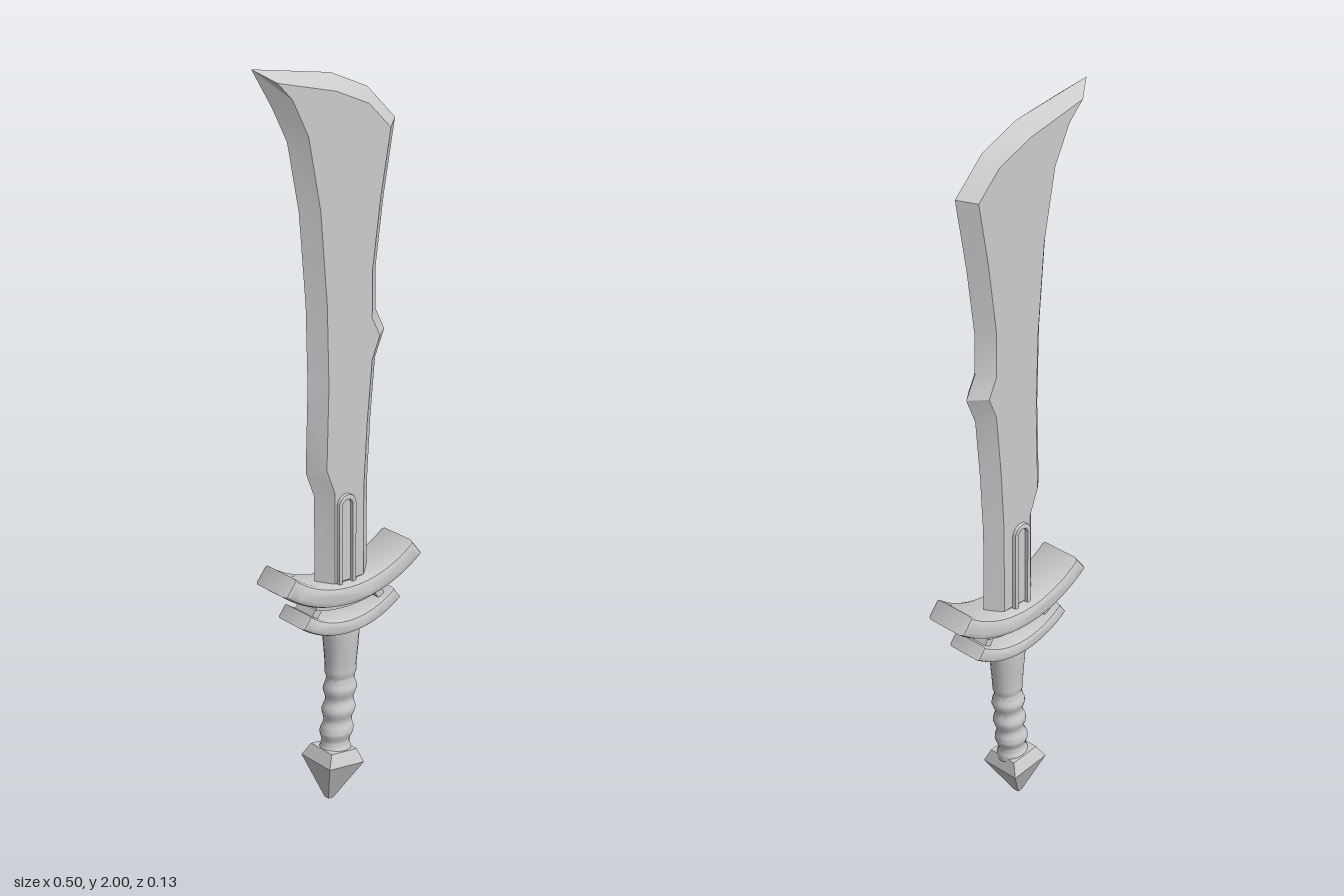
import * as THREE from 'three';
import { toCreasedNormals, mergeVertices } from 'three/addons/utils/BufferGeometryUtils.js';

const material = new THREE.MeshStandardMaterial({ color: 0xcccccc });

function part(group, name, geometry) {
  const mesh = new THREE.Mesh(geometry, material);
  mesh.name = name;
  group.add(mesh);
  return mesh;
}

// Blade: a sharp outline at z = 0, bevelled to flat faces at +-t
function bladeGeometry(outline, bevel, t) {
  const n = outline.length;
  const edge = outline.map(([x, y]) => new THREE.Vector2(x, y));
  const inset = edge.map((p, i) => {
    const inward = (a, b) => new THREE.Vector2(a.y - b.y, b.x - a.x).normalize();
    const n1 = inward(edge[(i + n - 1) % n], p);
    const dir = n1.clone().add(inward(p, edge[(i + 1) % n])).normalize();
    return p.clone().addScaledVector(dir, bevel * Math.min(1 / dir.dot(n1), 1.5));
  });
  const pos = [];
  const tri = (...pts) => pts.forEach(([p, z]) => pos.push(p.x, p.y, z));
  for (let i = 0; i < n; i++) {
    const j = (i + 1) % n;
    tri([edge[i], 0], [edge[j], 0], [inset[j], t]);
    tri([edge[i], 0], [inset[j], t], [inset[i], t]);
    tri([edge[j], 0], [edge[i], 0], [inset[j], -t]);
    tri([inset[j], -t], [edge[i], 0], [inset[i], -t]);
  }
  for (const [a, b, c] of THREE.ShapeUtils.triangulateShape(inset, [])) {
    tri([inset[a], t], [inset[b], t], [inset[c], t]);
    tri([inset[a], -t], [inset[c], -t], [inset[b], -t]);
  }
  const g = new THREE.BufferGeometry();
  g.setAttribute('position', new THREE.Float32BufferAttribute(pos, 3));
  return toCreasedNormals(g, 0.5);
}

// Shape extruded symmetrically about z = 0, with chamfered rims
function slab(shape, halfDepth, chamfer) {
  const g = new THREE.ExtrudeGeometry(shape, {
    depth: 2 * (halfDepth - chamfer), bevelEnabled: chamfer > 0, bevelSize: chamfer,
    bevelThickness: chamfer, bevelOffset: -chamfer, bevelSegments: 2, curveSegments: 16,
  });
  g.translate(0, 0, -(halfDepth - chamfer));
  return toCreasedNormals(g, 0.6);
}

// Upward-curving bar: a slice of a ring below its centre
function arcBar(cx, cy, outer, inner, halfAngle, halfDepth, chamfer) {
  const s = new THREE.Shape();
  const mid = -Math.PI / 2;
  s.absarc(cx, cy, outer, mid - halfAngle, mid + halfAngle, false);
  s.absarc(cx, cy, inner, mid + halfAngle, mid - halfAngle, true);
  s.closePath();
  return slab(s, halfDepth, chamfer);
}

// Arched outline, straight at the bottom
function arch(path, cx, bottom, top, r) {
  path.moveTo(cx - r, bottom);
  path.lineTo(cx + r, bottom);
  path.absarc(cx, top - r, r, 0, Math.PI, false);
  path.closePath();
  return path;
}

// Grip: elliptical rings along a bent centre line, swelling into finger ridges
function gripGeometry() {
  const rows = 48;
  const spine = new THREE.CatmullRomCurve3([
    [0.0, 0.13], [0.009, 0.2], [0.019, 0.3], [0.023, 0.4], [0.023, 0.52],
  ].map(([x, y]) => new THREE.Vector3(x, y, 0)));
  const g = new THREE.CylinderGeometry(1, 1, 1, 20, rows);
  const p = g.attributes.position;
  for (let i = 0; i < p.count; i++) {
    const u = p.getY(i) + 0.5;
    const c = spine.getPoint(u);
    const ridge = c.y < 0.37 ? 0.004 * Math.cos((c.y - 0.2) * 2 * Math.PI / 0.06) : 0;
    const flare = 0.008 * THREE.MathUtils.smoothstep(c.y, 0.36, 0.5);
    p.setXYZ(i, c.x + p.getX(i) * (0.044 + ridge + flare), c.y,
      p.getZ(i) * (0.037 + ridge + flare));
  }
  g.deleteAttribute('normal');
  g.deleteAttribute('uv');
  const merged = mergeVertices(g);
  return toCreasedNormals(merged, 0.9);
}

export function createModel() {
  const model = new THREE.Group();
  model.name = 'sword';

  // Blade outline, counter-clockwise from the bottom of the spine
  const blade = [
    [0.11, 0.6], [0.11, 0.88], [0.12, 1.05], [0.135, 1.21], [0.165, 1.28], [0.135, 1.34],
    [0.135, 1.45], [0.16, 1.63], [0.195, 1.82], [0.105, 1.91], [-0.01, 1.96], [-0.25, 2.0],
    [-0.19, 1.9], [-0.145, 1.81], [-0.11, 1.63], [-0.09, 1.39], [-0.085, 1.18],
    [-0.092, 0.95], [-0.065, 0.88], [-0.065, 0.6],
  ];
  part(model, 'blade', bladeGeometry(blade, 0.04, 0.035));

  // Raised arched frame at the root of the blade
  const frame = arch(new THREE.Shape(), 0.01, 0.6, 0.88, 0.029);
  frame.holes.push(arch(new THREE.Path(), 0.01, 0.62, 0.865, 0.016));
  part(model, 'bladeFrame', slab(frame, 0.045, 0.004));

  // Two curved guards with a thin plate and struts between them
  part(model, 'upperGuard', arcBar(0.02, 0.95, 0.37, 0.315, 0.67, 0.066, 0.014));
  part(model, 'lowerGuard', arcBar(0.02, 0.77, 0.275, 0.235, 0.64, 0.056, 0.01));
  part(model, 'guardPlate', arcBar(0.02, 0.95, 0.383, 0.36, 0.3, 0.04, 0));
  for (const side of [-1, 1]) {
    const strut = part(model, side < 0 ? 'rightStrut' : 'leftStrut',
      new THREE.BoxGeometry(0.022, 0.075, 0.07));
    strut.position.set(0.02 + side * 0.105, 0.573, 0);
    strut.rotation.z = side * 0.6;
  }

  part(model, 'grip', gripGeometry());

  // Four-sided pointed pommel, tilted with the grip
  const k = Math.SQRT2;
  const profile = [[0, 0], [0.008, 0.002], [0.059, 0.115], [0.043, 0.15], [0, 0.152]]
    .map(([r, y]) => new THREE.Vector2(r * k, y));
  const pommel = part(model, 'pommel',
    toCreasedNormals(new THREE.LatheGeometry(profile, 4, Math.PI / 4), 0.4));
  pommel.position.set(-0.018, 0.002, 0);
  pommel.rotation.z = -0.12;

  return model;
}
